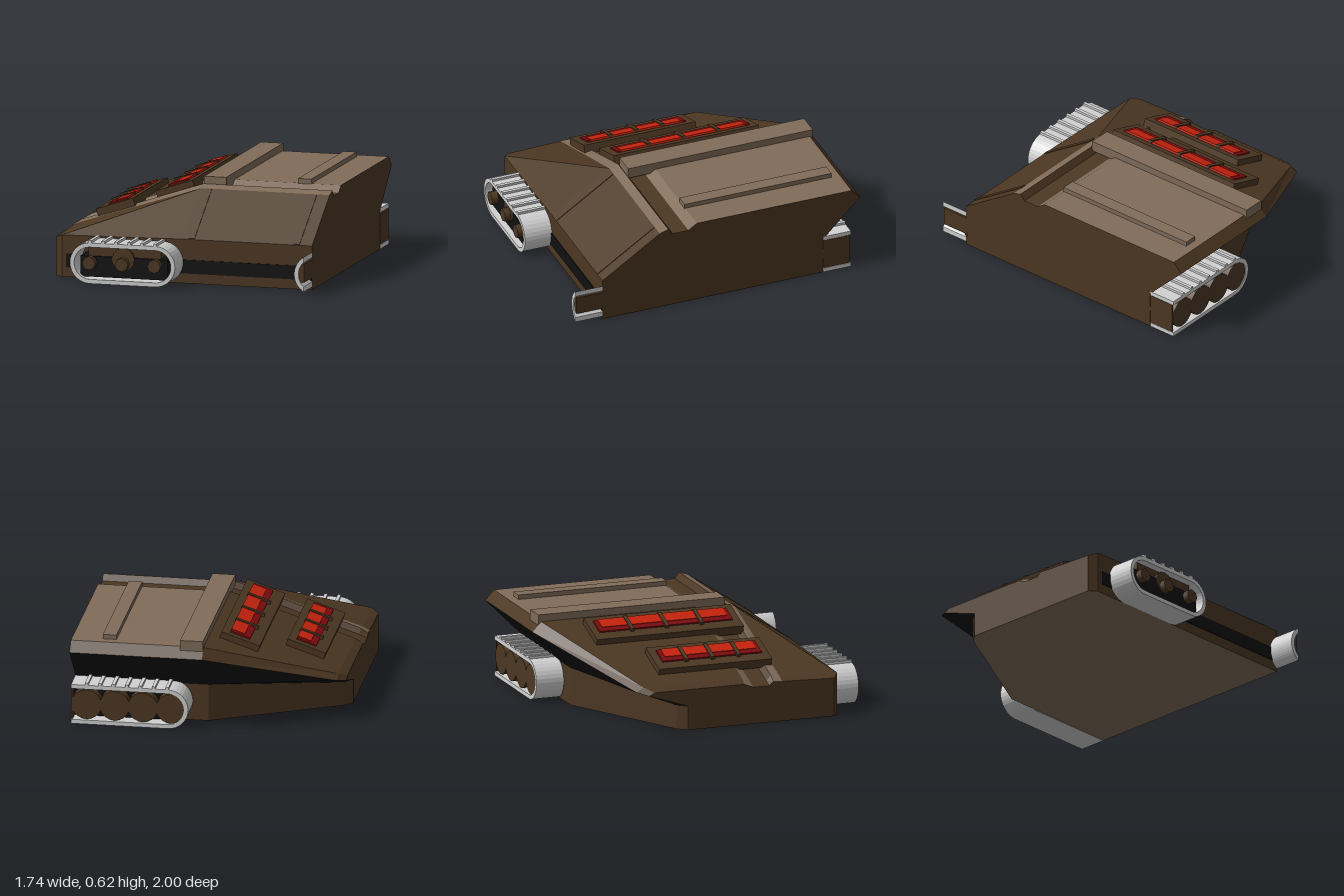
import * as THREE from 'three';

const mat = (name, color, side = THREE.FrontSide) => {
  const m = new THREE.MeshStandardMaterial({ color, side });
  m.name = name;
  return m;
};

export function createModel() {
  const group = new THREE.Group();
  const brown = mat('brown', 0x4d3823);
  const tan = mat('tan', 0x806c5a);
  const silver = mat('silver', 0xd2d2d2);
  const red = mat('red', 0xc8230d);
  const darkRed = mat('darkRed', 0x7d0c0e);
  const black = mat('black', 0x101010);

  const add = (name, geo, m, parent = group) => {
    const mesh = new THREE.Mesh(geo, m);
    mesh.name = name;
    parent.add(mesh);
    return mesh;
  };
  // Box given by its limits on each axis
  const box = (name, m, x0, x1, y0, y1, z0, z1, parent) =>
    add(name, new THREE.BoxGeometry(x1 - x0, y1 - y0, z1 - z0)
      .translate((x0 + x1) / 2, (y0 + y1) / 2, (z0 + z1) / 2), m, parent);

  // Hull: [z, y] cross-sections lofted along x
  const full = [[.8, 0], [.8, .29], [.4, .555], [.34, .575], [.31, .535], [.2, .535],
    [.14, .575], [-.94, .575], [-1, .51], [-.74, .25], [-.74, 0]];
  const low = [[.8, 0], [.8, .275], [.4, .29], [.34, .3], [.31, .265], [.2, .265],
    [.14, .3], [-.54, .3], [-.59, .27], [-.31, .16], [-.31, 0]];
  const end = [[.76, 0], [.76, .255], [.4, .265], [.34, .27], [.31, .245], [.2, .245],
    [.14, .27], [-.48, .27], [-.52, .25], [-.25, .16], [-.25, 0]];
  const stations = [[-.87, end], [-.82, low], [0, full], [.87, full]];
  const strips = [brown, brown, tan, brown, brown, tan, brown, brown, black, brown, tan];
  const faces = new Map([[brown, []], [tan, []], [black, []]]);
  for (let s = 0; s < 3; s++) {
    const [xa, pa] = stations[s], [xb, pb] = stations[s + 1];
    strips.forEach((m, i) => {
      const j = (i + 1) % strips.length;
      const v = (x, p) => [x, p[1], p[0]];
      const a = v(xa, pa[i]), b = v(xb, pb[i]), c = v(xb, pb[j]), d = v(xa, pa[j]);
      const use = i === 6 && s === 2 ? tan : m;
      faces.get(use).push(...a, ...b, ...c, ...a, ...c, ...d);
    });
  }
  for (const [m, pos] of faces) {
    const g = new THREE.BufferGeometry();
    g.setAttribute('position', new THREE.Float32BufferAttribute(pos, 3));
    g.computeVertexNormals();
    add(m.name + 'HullPanels', g, m);
  }
  const cap = (profile, x, sign) => {
    const shape = new THREE.Shape(profile.map(([z, y]) => new THREE.Vector2(-sign * z, y)));
    add('hullSide', new THREE.ShapeGeometry(shape).rotateY(sign * Math.PI / 2).translate(x, 0, 0), brown);
  };
  cap(full, .87, 1);
  cap(end, -.87, -1);

  // Roof bars
  box('roofBar', tan, 0, .15, .55, .622, -.96, .33);
  box('roofRidge', tan, .58, .67, .57, .605, -.88, .145);

  // Ribs on the front slope
  const slope = Math.atan2(.265, .4);
  for (const x of [.055, .765]) {
    const rib = add('frontRib', new THREE.BoxGeometry(.04, .008, .47), brown);
    rib.position.set(x, .4225, .6);
    rib.rotation.x = slope;
  }

  // Dark band along the lower front
  box('frontBand', black, -.79, .87, .065, .155, .78, .806);

  // Glowing vents lying on the sloped left roof
  const tilt = Math.atan2(.275, .82);
  const vent = (x, z0, z1, r0, r1, bars) => {
    const g = new THREE.Group();
    g.name = 'roofVent';
    g.position.set(x, .575 + x * .335, 0);
    g.rotation.z = tilt;
    box('ventPlate', brown, -.132, .132, -.02, .042, z0, z1, g);
    box('ventFrame', darkRed, -.055, .08, .03, .052, r0, r1, g);
    box('ventLight', red, -.012, .081, .045, .056, r0 + .03, r1 - .025, g);
    for (const z of bars) box('ventBar', brown, -.075, .085, .035, .063, z - .013, z + .013, g);
    group.add(g);
  };
  vent(-.575, -.39, .39, -.34, .345, [-.18, 0, .18]);
  vent(-.188, -.675, .34, -.63, .29, [-.41, -.17, .07]);

  // Track belts: rounded at the left end, rounded or cut at the right end
  const R = .134, r = .106, CY = .134;
  const arc = (rad, cx, from, to) => Array.from({ length: 17 }, (_, i) => {
    const a = from + (to - from) * i / 16;
    return new THREE.Vector2(cx + rad * Math.cos(a), CY + rad * Math.sin(a));
  });
  const belt = (shape, z) => add('trackBelt', new THREE.ExtrudeGeometry(shape,
    { depth: .19, bevelEnabled: false }).translate(0, 0, z), silver);
  const openBelt = (cx, cut, z) => {
    const side = (rad) => {
      const a = cut >= cx ? Math.PI / 2 : Math.acos((cut - cx) / rad);
      const pts = arc(rad, cx, a, 2 * Math.PI - a);
      if (cut > cx) {
        pts.unshift(new THREE.Vector2(cut, CY + rad));
        pts.push(new THREE.Vector2(cut, CY - rad));
      }
      return pts;
    };
    belt(new THREE.Shape([...side(R), ...side(r).reverse()]), z);
  };
  const cleats = (x0, n, z) => {
    for (let i = 0; i < n; i++) {
      const x = x0 + i * .088;
      box('trackCleat', silver, x - .011, x + .011, .262, .284, z, z + .19);
    }
  };
  const wheel = (name, x, y, rad, z0, z1, sides) =>
    add(name, new THREE.CylinderGeometry(rad, rad, z1 - z0, sides).rotateX(Math.PI / 2)
      .translate(x, y, (z0 + z1) / 2), brown);

  // Front track
  const loop = (rad) => [...arc(rad, -.576, Math.PI / 2, Math.PI * 1.5),
    ...arc(rad, -.134, -Math.PI / 2, Math.PI / 2)];
  const ring = new THREE.Shape(loop(R));
  ring.holes.push(new THREE.Path(loop(r)));
  belt(ring, .8);
  cleats(-.575, 6, .8);
  box('trackCore', black, -.65, -.06, .04, .175, .8, .955);
  box('trackCoreTop', brown, -.6, -.11, .175, .236, .8, .94);
  for (const x of [-.58, -.36, -.14]) wheel('frontHub', x, .135, .045, .94, 1, 8);
  wheel('upperRoller', -.36, .165, .075, .9, .958, 12);

  // Second front track, cut at the side plane
  openBelt(.94, .87, .8);
  box('cutTrackCore', brown, .835, .87, .08, .2, .8, .98);

  // Rear track with four road wheels
  openBelt(.235, .87, -.935);
  cleats(.24, 7, -.935);
  box('rearTrackCore', black, .2, .86, .035, .235, -.86, -.74);
  for (let i = 0; i < 4; i++) wheel('rearWheel', .215 + i * .185, CY, .1, -.93, -.74, 20);
  box('rearTrackEnd', brown, .86, .87, .03, .238, -.925, -.745);

  return group;
}
